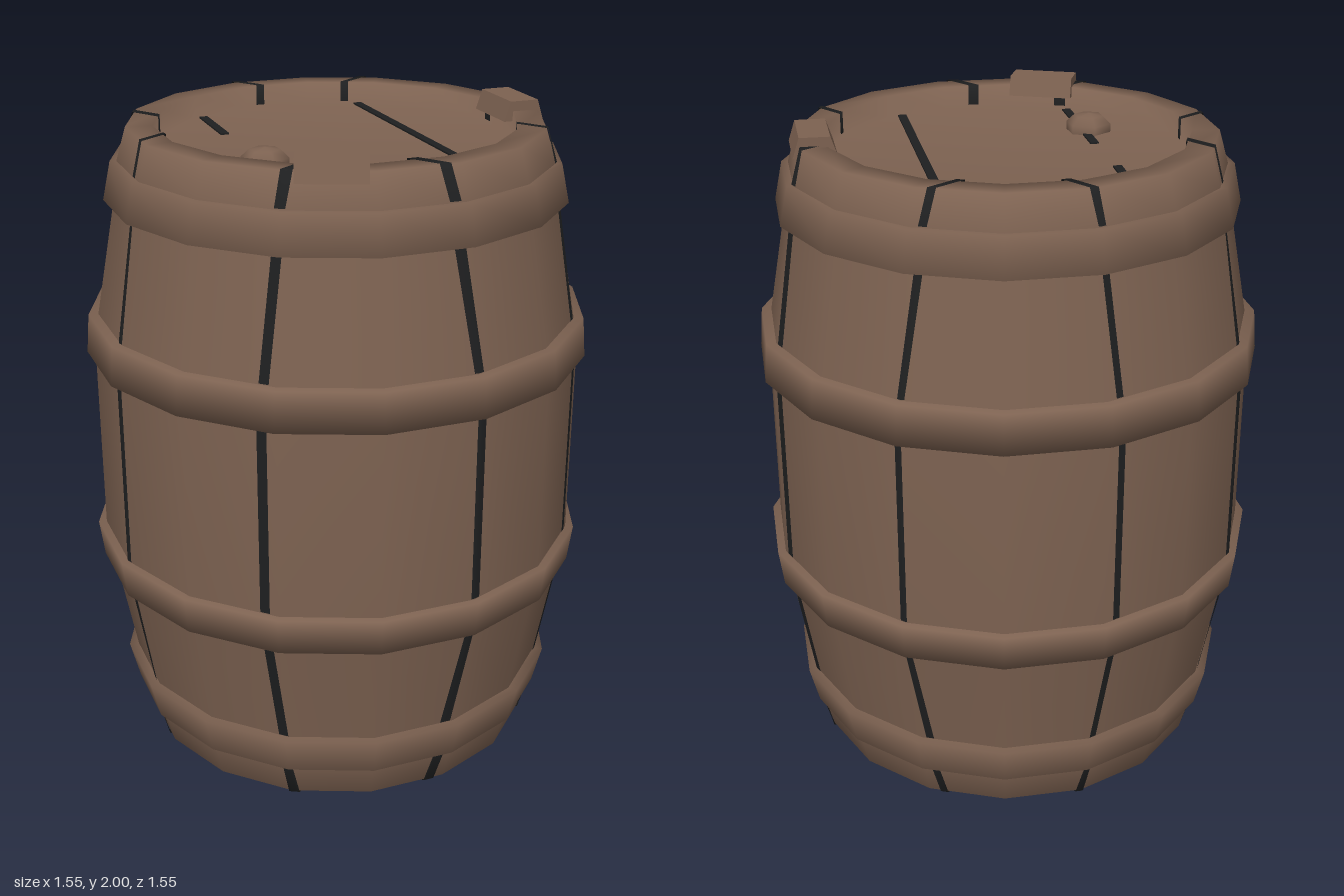
import * as THREE from 'three';

const SIDES = 16;

function lathe(points, sides, material, name) {
  const profile = points.map(([r, y]) => new THREE.Vector2(r, y));
  const mesh = new THREE.Mesh(new THREE.LatheGeometry(profile, sides), material);
  mesh.name = name;
  return mesh;
}

// Distance from the axis plane to a sixteen-sided ring of radius r, at sideways offset u
function ringDepth(r, u) {
  const step = (Math.PI * 2) / SIDES;
  const a = Math.abs(u);
  for (let i = 0; i < SIDES / 4; i++) {
    const x0 = r * Math.sin(i * step), x1 = r * Math.sin((i + 1) * step);
    if (a <= x1) {
      const t = (a - x0) / (x1 - x0);
      return r * THREE.MathUtils.lerp(Math.cos(i * step), Math.cos((i + 1) * step), t);
    }
  }
  return 0;
}

// Thin strip lying on the barrel surface, following a [radius, y] path
function seamGeometry(path, centre, width, side, alongX) {
  const columns = 5, positions = [], index = [];
  path.forEach(([r, y], row) => {
    for (let i = 0; i < columns; i++) {
      const u = centre + width * (i / (columns - 1) - 0.5);
      const d = side * ringDepth(r, u);
      positions.push(...(alongX ? [d, y, u] : [u, y, d]));
      if (row > 0 && i > 0) {
        const a = (row - 1) * columns + i - 1, b = row * columns + i - 1;
        index.push(a, a + 1, b, b, a + 1, b + 1);
      }
    }
  });
  const geometry = new THREE.BufferGeometry();
  geometry.setAttribute('position', new THREE.Float32BufferAttribute(positions, 3));
  geometry.setIndex(index);
  geometry.computeVertexNormals();
  return geometry;
}

export function createModel() {
  const wood = new THREE.MeshStandardMaterial({ color: 0x7d6251 });
  wood.name = 'brown wood';
  const dark = new THREE.MeshStandardMaterial({ color: 0x1e1f20, side: THREE.DoubleSide });
  dark.name = 'dark seam';

  const barrel = new THREE.Group();
  barrel.name = 'barrel';

  // Body with recessed bottom and lid
  barrel.add(lathe([
    [0, 0.1], [0.595, 0.1], [0.595, 0], [0.625, 0], [0.655, 0.11], [0.67, 0.23],
    [0.735, 0.58], [0.75, 0.69], [0.75, 1.28], [0.735, 1.4], [0.67, 1.75],
    [0.655, 1.87], [0.625, 1.97], [0.545, 1.97], [0.545, 1.9], [0, 1.9],
  ], SIDES, wood, 'body'));

  // Hoops: lower y, upper y, lower radius, upper radius
  const hoops = [
    [0.11, 0.23, 0.67, 0.7],
    [0.58, 0.695, 0.76, 0.775],
    [1.28, 1.4, 0.775, 0.765],
    [1.755, 1.87, 0.7, 0.675],
  ];
  for (const [y0, y1, r0, r1] of hoops) {
    barrel.add(lathe([[0.64, y0], [r0, y0], [r1, y1], [0.64, y1]], SIDES, wood, 'hoop'));
  }

  // Stave seams between the hoops, over the rims and down the inner walls
  const paths = [
    [[0.591, 0.09], [0.591, -0.002], [0.629, -0.002], [0.659, 0.11]],
    [[0.675, 0.235], [0.74, 0.575]],
    [[0.754, 0.7], [0.754, 1.275]],
    [[0.74, 1.405], [0.675, 1.75]],
    [[0.659, 1.875], [0.629, 1.974], [0.541, 1.974], [0.541, 1.91]],
  ];
  const seams = new THREE.Group();
  seams.name = 'staveSeams';
  // Sideways offset, width, and whether the seam is on the x sides
  const lines = [[0.245, 0.03, false], [-0.283, 0.02, false], [0.283, 0.028, true], [-0.245, 0.022, true]];
  for (const [centre, width, alongX] of lines) {
    for (const side of [1, -1]) {
      for (const path of paths) {
        const seam = new THREE.Mesh(seamGeometry(path, centre, width, side, alongX), dark);
        seam.name = 'staveSeam';
        seams.add(seam);
      }
    }
  }
  barrel.add(seams);

  // Diagonal seams between the lid boards: x0, z0, x1, z1
  const lidLines = [
    [-0.25, -0.475, 0.53, 0.045],
    [-0.53, -0.02, -0.33, 0.12],
    [-0.12, 0.25, 0.215, 0.475],
  ];
  for (const [x0, z0, x1, z1] of lidLines) {
    const length = Math.hypot(x1 - x0, z1 - z0);
    const seam = new THREE.Mesh(new THREE.BoxGeometry(length, 0.006, 0.026), dark);
    seam.name = 'lidSeam';
    seam.position.set((x0 + x1) / 2, 1.902, (z0 + z1) / 2);
    seam.rotation.y = -Math.atan2(z1 - z0, x1 - x0);
    barrel.add(seam);
  }

  // Six-sided bung in the lid
  barrel.add(lathe([[0.07, 1.9], [0.07, 1.925], [0.045, 1.948], [0, 1.955]], 6, wood, 'bung'));
  barrel.children.at(-1).position.z = 0.35;

  // Raised stave ends on the rim
  for (const side of [1, -1]) {
    const shape = new THREE.Shape([[-0.065, 0], [0.065, 0], [0.045, 0.06], [-0.045, 0.06]]
      .map(([x, y]) => new THREE.Vector2(x, y)));
    const geometry = new THREE.ExtrudeGeometry(shape, { depth: 0.2, bevelEnabled: false });
    geometry.translate(0, 0, -0.1);
    const block = new THREE.Mesh(geometry, wood);
    block.name = 'raisedStave';
    block.position.set(0.32, 1.94, side * 0.475);
    block.rotation.y = side * -Math.atan2(0.475, 0.32);
    barrel.add(block);
  }

  return barrel;
}
